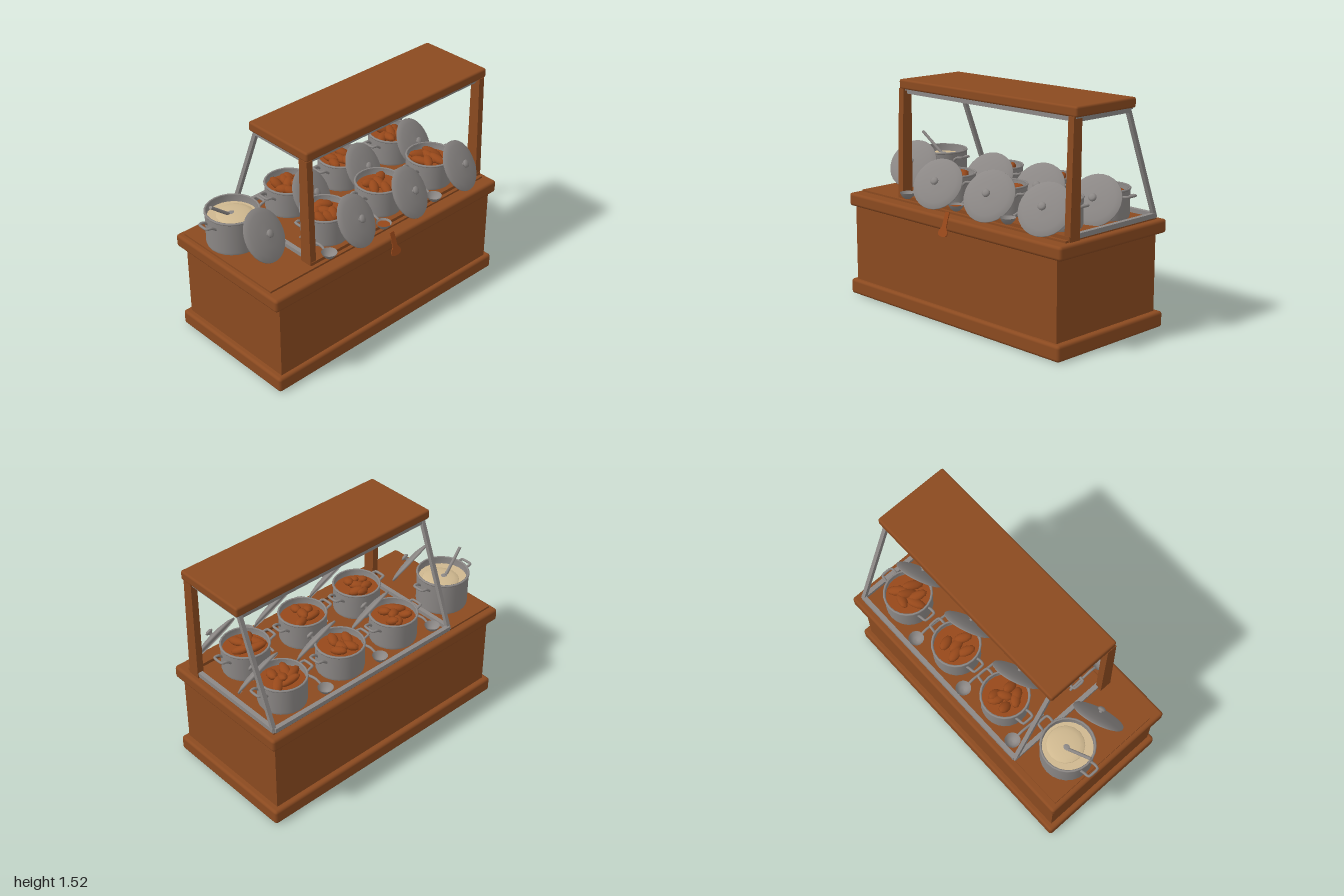
import * as THREE from 'three';
import { RoundedBoxGeometry } from 'three/addons/geometries/RoundedBoxGeometry.js';

const V = (x, y, z) => new THREE.Vector3(x, y, z);

function material(name, color, side = THREE.FrontSide) {
  const m = new THREE.MeshStandardMaterial({ color, side });
  m.name = name;
  return m;
}

export function createModel() {
  const wood = material('wood', 0x8b4a20);
  const steel = material('steel', 0x8c8886, THREE.DoubleSide);
  const stew = material('stew', 0x97481a, THREE.DoubleSide);
  const porridge = material('porridge', 0xcfb88f);
  const model = new THREE.Group();
  model.name = 'foodCounter';

  let seed = 7;
  const rand = () => (seed = (seed * 16807) % 2147483647) / 2147483647;

  const add = (parent, name, geometry, mat, x = 0, y = 0, z = 0) => {
    const mesh = new THREE.Mesh(geometry, mat);
    mesh.name = name;
    mesh.position.set(x, y, z);
    parent.add(mesh);
    return mesh;
  };
  // Box given by its limits on each axis, with optional rounded edges
  const block = (name, [x0, x1], [y0, y1], [z0, z1], mat, radius = 0) => {
    const size = [x1 - x0, y1 - y0, z1 - z0];
    const geo = radius ? new RoundedBoxGeometry(...size, 2, radius) : new THREE.BoxGeometry(...size);
    return add(model, name, geo, mat, (x0 + x1) / 2, (y0 + y1) / 2, (z0 + z1) / 2);
  };
  // Straight bar between two points
  const bar = (parent, name, a, b, w, mat, sides = 4) => {
    const geo = new THREE.CylinderGeometry(w, w, a.distanceTo(b), sides);
    if (sides === 4) geo.rotateY(Math.PI / 4);
    const mesh = add(parent, name, sides === 4 ? geo.toNonIndexed() : geo, mat);
    mesh.position.copy(a).add(b).multiplyScalar(0.5);
    mesh.quaternion.setFromUnitVectors(V(0, 1, 0), b.clone().sub(a).normalize());
    if (sides === 4) mesh.geometry.computeVertexNormals();
    return mesh;
  };
  const lathe = (pts, segments = 24) =>
    new THREE.LatheGeometry(pts.map(([r, y]) => new THREE.Vector2(r, y)), segments);

  // Counter
  block('plinth', [-0.985, 0.99], [0, 0.105], [-0.5, 0.48], wood, 0.02);
  block('cabinet', [-0.945, 0.945], [0.05, 0.65], [-0.46, 0.45], wood);
  block('worktop', [-0.99, 0.995], [0.625, 0.715], [-0.51, 0.475], wood, 0.02);
  block('worktopPanel', [-0.955, 0.95], [0.71, 0.728], [-0.46, 0.385], wood);
  block('frontRail', [-0.6, 0.955], [0.72, 0.75], [0.33, 0.36], wood);

  // Canopy with tapering front posts
  block('canopyRoof', [-0.605, 0.98], [1.46, 1.525], [-0.2, 0.335], wood, 0.014);
  block('roofLining', [-0.59, 0.965], [1.452, 1.46], [-0.185, 0.32], steel);
  for (const x of [-0.583, 0.937]) {
    const geo = new THREE.BoxGeometry(0.046, 0.75, 0.08);
    const p = geo.attributes.position;
    for (let i = 0; i < p.count; i++) {
      const top = p.getY(i) > 0, front = p.getZ(i) > 0;
      p.setZ(i, top ? (front ? 0.335 : 0.265) : (front ? 0.357 : 0.27));
    }
    geo.computeVertexNormals();
    add(model, 'frontPost', geo, wood, x, 1.09, 0);
  }

  // Steel display frame
  const frameX = [-0.566, 0.938];
  for (const x of frameX) {
    bar(model, 'slopingBar', V(x, 0.725, -0.452), V(x, 1.45, -0.17), 0.019, steel);
    bar(model, 'sideBottomBar', V(x, 0.74, 0.3), V(x, 0.74, -0.455), 0.022, steel);
    bar(model, 'sideTopBar', V(x, 1.442, 0.3), V(x, 1.442, -0.17), 0.019, steel);
  }
  bar(model, 'backBottomBar', V(frameX[0], 0.74, -0.452), V(frameX[1], 0.74, -0.452), 0.022, steel);
  bar(model, 'backTopBar', V(frameX[0], 1.442, -0.17), V(frameX[1], 1.442, -0.17), 0.019, steel);
  bar(model, 'frontTopBar', V(frameX[0], 1.442, 0.29), V(frameX[1], 1.442, 0.29), 0.019, steel);

  // Cooking pot with two looped handles, open at the top
  const makePot = (x, z, r, h) => {
    const pot = new THREE.Group();
    pot.name = 'pot';
    pot.position.set(x, 0.725, z);
    model.add(pot);
    add(pot, 'potWall', lathe([[r * 0.95, 0], [r * 0.98, 0.02], [r * 0.98, h - 0.012]]), steel);
    add(pot, 'potInside', lathe([[r * 0.93, h], [r * 0.93, 0.03], [0, 0.03]]), steel);
    const rim = add(pot, 'potRim', new THREE.TorusGeometry(r * 0.97, 0.008, 6, 24), steel, 0, h - 0.006, 0);
    rim.rotation.x = Math.PI / 2;
    for (const s of [-1, 1]) {
      const y = h - 0.035;
      const path = new THREE.CatmullRomCurve3([
        V(s * r * 0.93, y - 0.025, -0.043), V(s * (r + 0.02), y, -0.043), V(s * (r + 0.055), y + 0.004, -0.036),
        V(s * (r + 0.055), y + 0.004, 0.036), V(s * (r + 0.02), y, 0.043), V(s * r * 0.93, y - 0.025, 0.043),
      ], false, 'catmullrom', 0.3);
      add(pot, 'potHandle', new THREE.TubeGeometry(path, 18, 0.009, 6), steel);
    }
    return pot;
  };

  // Domed lid leaning against its pot
  const lidNormal = V(0.25, 0.55, 0.8).normalize();
  const lidShape = lathe([[0.17, -0.012], [0.177, -0.008], [0.176, 0], [0.14, 0.012], [0.08, 0.022], [0, 0.026]], 28);
  const knobShape = lathe([[0.012, 0.022], [0.012, 0.036], [0.026, 0.042], [0.027, 0.052], [0.016, 0.06], [0, 0.061]], 12);
  const makeLid = (x, y, z) => {
    const lid = new THREE.Group();
    lid.name = 'potLid';
    lid.position.set(x, y, z);
    lid.quaternion.setFromUnitVectors(V(0, 1, 0), lidNormal);
    add(lid, 'lidDome', lidShape, steel);
    add(lid, 'lidKnob', knobShape, steel);
    model.add(lid);
  };

  // Stew surface with chunks of food
  const fillStew = (pot, r, h, count, length) => {
    add(pot, 'stewSurface', new THREE.CylinderGeometry(r * 0.92, r * 0.92, 0.02, 24), stew, 0, h - 0.055, 0);
    for (let i = 0; i < count; i++) {
      const a = (i / count) * Math.PI * 2 + rand() * 0.6;
      const d = i ? r * (0.35 + rand() * 0.15) : 0;
      const chunk = add(pot, 'stewChunk', new THREE.SphereGeometry(1, 10, 7), stew,
        Math.cos(a) * d, h - 0.03 + rand() * 0.015, Math.sin(a) * d);
      chunk.scale.set(length, 0.026, 0.034);
      chunk.rotation.set(rand() * 0.4, rand() * 3, (rand() - 0.5) * 0.6);
    }
  };

  const rows = [
    { xs: [-0.25, 0.22, 0.7], z: -0.25, lidX: 0.06, lidZ: -0.085, lidY: 0.868 },
    { xs: [-0.295, 0.185, 0.665], z: 0.15, lidX: 0.085, lidZ: 0.355, lidY: 0.885 },
  ];
  for (const row of rows) {
    row.xs.forEach((x, i) => {
      const pot = makePot(x, row.z, 0.162, 0.195);
      fillStew(pot, 0.162, 0.195, [7, 5, 6][i], [0.055, 0.062, 0.075][i]);
      makeLid(x + row.lidX, row.lidY, row.lidZ);
    });
  }

  // Large porridge pot at the open end
  const bigPot = makePot(-0.77, -0.19, 0.178, 0.24);
  add(bigPot, 'porridgeSurface', new THREE.CylinderGeometry(0.164, 0.164, 0.02, 24), porridge, 0, 0.18, 0);
  const mound = add(bigPot, 'porridgeMound', new THREE.SphereGeometry(0.13, 16, 8), porridge, 0.02, 0.185, 0);
  mound.scale.y = 0.2;
  makeLid(-0.75, 0.9, 0.1);

  // Ladle: bowl at the origin, handle running along -z
  const makeLadle = (x, y, z) => {
    const ladle = new THREE.Group();
    ladle.name = 'ladle';
    ladle.position.set(x, y, z);
    add(ladle, 'ladleBowl', lathe([[0, -0.042], [0.022, -0.038], [0.04, -0.02], [0.052, 0.002]], 14), steel);
    const path = new THREE.CatmullRomCurve3([V(0, 0, -0.05), V(0, 0.012, -0.08), V(0, 0, -0.16), V(0, -0.02, -0.27)]);
    add(ladle, 'ladleHandle', new THREE.TubeGeometry(path, 12, 0.009, 6), steel);
    model.add(ladle);
    return ladle;
  };
  for (const x of [-0.475, 0.0, 0.468]) {
    makeLadle(x, 0.785, 0.385);
    makeLadle(x, 0.772, -0.39).rotation.y = Math.PI;
  }
  // Serving spoon resting in the porridge
  const spoon = new THREE.Group();
  spoon.name = 'servingSpoon';
  bar(spoon, 'spoonHandle', V(-0.95, 1.065, -0.17), V(-0.79, 0.93, -0.2), 0.011, steel, 8);
  add(spoon, 'spoonBowl', new THREE.SphereGeometry(0.045, 12, 8), steel, -0.77, 0.92, -0.2).scale.set(1, 0.4, 0.8);
  model.add(spoon);

  // Sauce in the middle ladle and its drip over the counter edge
  const sauce = add(model, 'ladleSauce', new THREE.CircleGeometry(0.042, 14), stew, 0, 0.775, 0.385);
  sauce.rotation.x = -Math.PI / 2;
  const drip = new THREE.Shape();
  drip.moveTo(-0.017, 0.16);
  drip.lineTo(0.017, 0.16);
  drip.lineTo(0.02, 0.06);
  drip.bezierCurveTo(0.035, 0.045, 0.045, 0.025, 0.04, 0.01);
  drip.bezierCurveTo(0.02, -0.005, -0.02, -0.005, -0.04, 0.01);
  drip.bezierCurveTo(-0.045, 0.025, -0.035, 0.045, -0.02, 0.06);
  const dripGeo = new THREE.ExtrudeGeometry(drip, { depth: 0.006, bevelEnabled: false });
  const dripMesh = add(model, 'sauceDrip', dripGeo, stew, 0, 0.597, 0.506);
  dripMesh.rotation.x = -0.32;
  return model;
}
